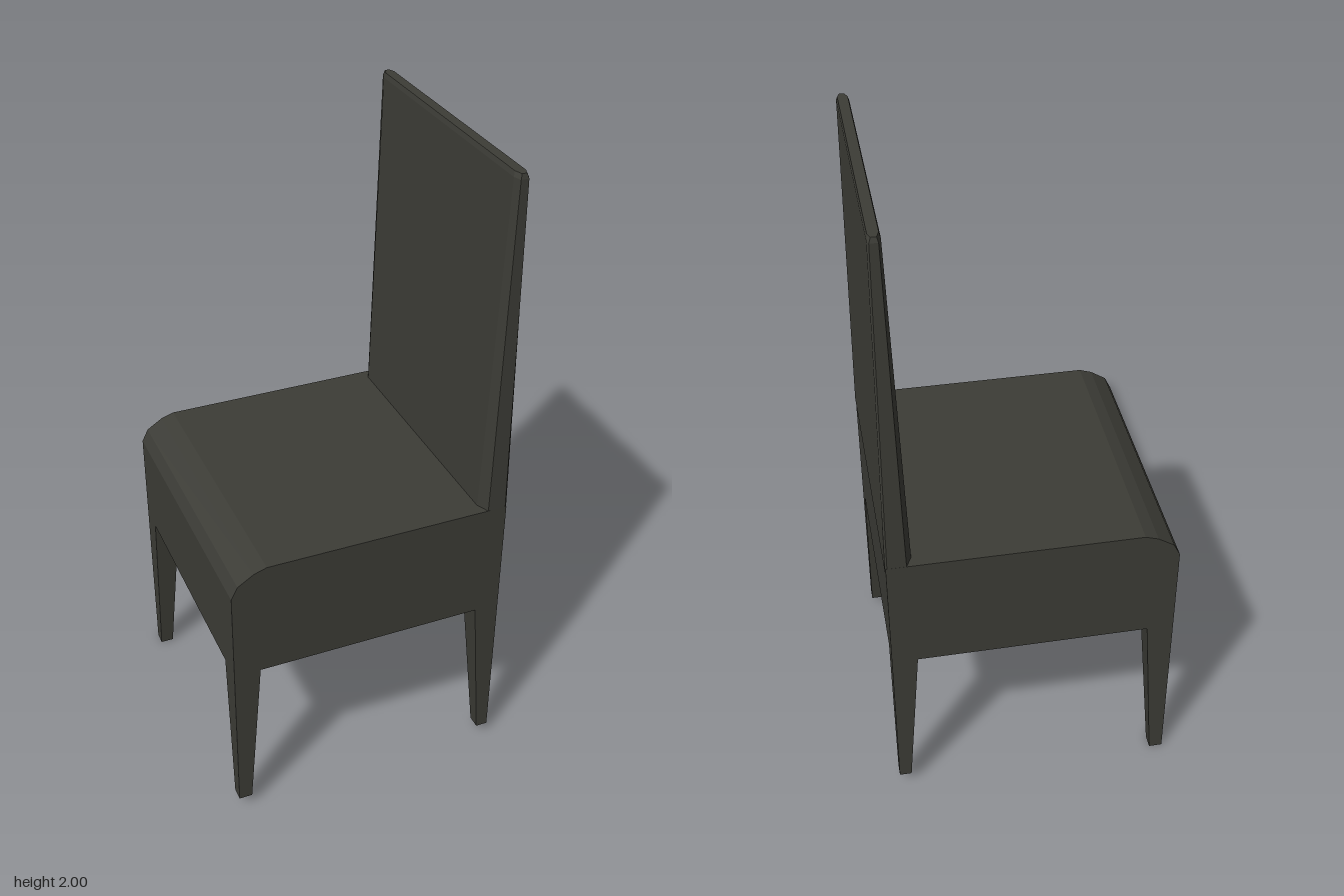
import * as THREE from 'three';

const material = new THREE.MeshStandardMaterial({ color: 0x3c3c36, flatShading: true });

// Solid through stacked rings of [x, y, z] points, each ring counter-clockwise seen from above
function loft(rings) {
  const n = rings[0].length;
  const index = [];
  for (let r = 0; r < rings.length - 1; r++) {
    for (let i = 0; i < n; i++) {
      const a = r * n + i, b = r * n + (i + 1) % n;
      index.push(a, b, b + n, a, b + n, a + n);
    }
  }
  const top = (rings.length - 1) * n;
  for (let i = 1; i < n - 1; i++) {
    index.push(0, i + 1, i, top, top + i, top + i + 1);
  }
  const geometry = new THREE.BufferGeometry();
  geometry.setAttribute('position', new THREE.Float32BufferAttribute(rings.flat(2), 3));
  geometry.setIndex(index);
  const flat = geometry.toNonIndexed();
  flat.computeVertexNormals();
  return flat;
}

export function createModel() {
  const chair = new THREE.Group();
  chair.name = 'chair';
  const add = (name, geometry) => {
    const mesh = new THREE.Mesh(geometry, material);
    mesh.name = name;
    chair.add(mesh);
  };

  // Thick seat with a rounded front edge, facing -x
  const profile = new THREE.Shape([
    [-0.44, 0.555], [0.436, 0.555], [0.436, 0.935], [-0.33, 0.935],
    [-0.37, 0.922], [-0.42, 0.89], [-0.44, 0.85],
  ].map(([x, y]) => new THREE.Vector2(x, y)));
  const seat = new THREE.ExtrudeGeometry(profile, { depth: 0.878, bevelEnabled: false });
  seat.translate(0, 0, -0.439);
  add('seat', seat);

  // Tall backrest, tapering upwards, with chamfered corners
  const backRing = (y, x0, x1, x2, x3, zInner, zOuter, zRear) => [
    [x0, y, zInner], [x1, y, zOuter], [x2, y, zOuter], [x3, y, zRear],
    [x3, y, -zRear], [x2, y, -zOuter], [x1, y, -zOuter], [x0, y, -zInner],
  ];
  add('backrest', loft([
    backRing(0.92, 0.357, 0.375, 0.432, 0.438, 0.40, 0.439, 0.434),
    backRing(1.985, 0.388, 0.396, 0.42, 0.425, 0.405, 0.429, 0.418),
    backRing(2.0, 0.392, 0.4, 0.415, 0.422, 0.40, 0.425, 0.405),
  ]));

  // Four legs, vertical outside and tapered inside; one is slightly longer
  for (const sx of [-1, 1]) {
    for (const sz of [-1, 1]) {
      const foot = sx < 0 && sz < 0 ? 0 : 0.037;
      const outX = sx < 0 ? 0.44 : 0.436;
      const ring = (y, inner) => {
        const corners = [
          [sx * inner, y, sz * inner], [sx * inner, y, sz * 0.439],
          [sx * outX, y, sz * 0.439], [sx * outX, y, sz * inner],
        ];
        return sx * sz > 0 ? corners : corners.reverse();
      };
      const name = (sx < 0 ? 'front' : 'rear') + (sz < 0 ? 'Left' : 'Right') + 'Leg';
      add(name, loft([ring(foot, 0.398), ring(0.56, 0.357)]));
    }
  }
  return chair;
}
